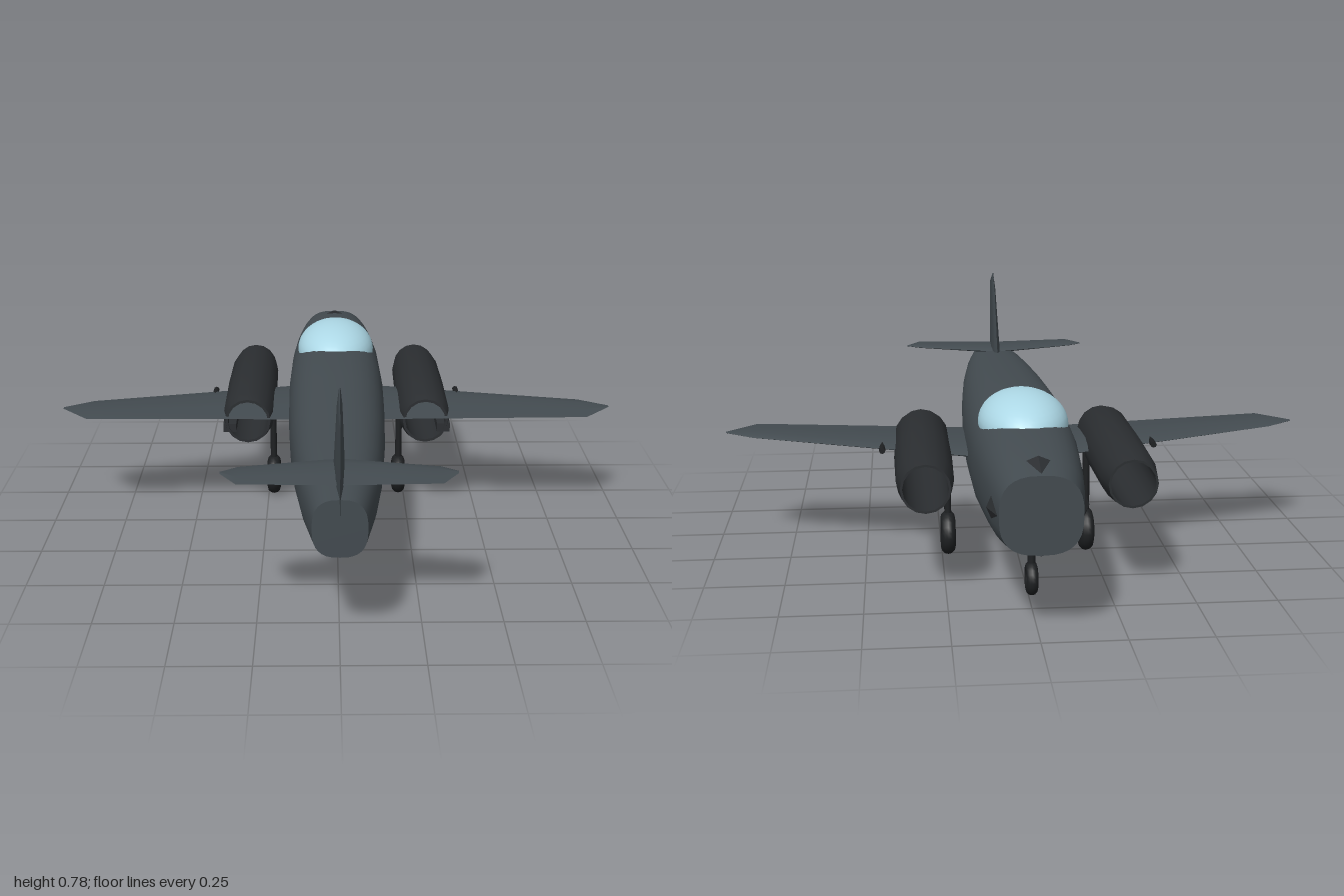
import * as THREE from 'three';
import { toCreasedNormals } from 'three/addons/utils/BufferGeometryUtils.js';

const V = (x, y, z) => new THREE.Vector3(x, y, z);
const mat = (color, side = THREE.FrontSide) => new THREE.MeshStandardMaterial({ color, side });

// Joins equal-sized rings of points into a closed skin with capped ends.
function loft(rings, crease) {
  const n = rings[0].length;
  const tris = [];
  for (let i = 0; i < rings.length - 1; i++) {
    for (let j = 0; j < n; j++) {
      const k = (j + 1) % n;
      const [a, b, c, d] = [rings[i][j], rings[i][k], rings[i + 1][k], rings[i + 1][j]];
      tris.push([a, b, c], [a, c, d]);
    }
  }
  const first = rings[0], last = rings[rings.length - 1];
  for (let j = 1; j < n - 1; j++) {
    tris.push([first[0], first[j + 1], first[j]], [last[0], last[j], last[j + 1]]);
  }
  // A negative volume means the skin is inside out.
  const mid = rings.flat().reduce((s, p) => s.add(p), V(0, 0, 0)).divideScalar(n * rings.length);
  const volume = tris.reduce((s, t) => {
    const [a, b, c] = t.map(p => p.clone().sub(mid));
    return s + a.dot(b.cross(c));
  }, 0);
  if (volume < 0) tris.forEach(t => t.reverse());
  const geo = new THREE.BufferGeometry().setFromPoints(tris.flat());
  return toCreasedNormals(geo, crease);
}

// Thin wing section from leading to trailing edge; place(z, offset) makes each point.
function foil(lead, trail, half, place) {
  const shape = [[0, 0], [0.08, 0.55], [0.3, 1], [0.65, 0.7], [1, 0], [0.65, -0.7], [0.3, -1], [0.08, -0.55]];
  return shape.map(([t, h]) => place(lead + (trail - lead) * t, h * half));
}

// Surface spanning both sides; stations are [x, y, lead, trail, half thickness].
function spanSurface(stations) {
  const mirrored = stations.slice().reverse().map(([x, ...rest]) => [-x, ...rest]);
  const rings = [...mirrored, ...stations].map(([x, y, lead, trail, half]) =>
    foil(lead, trail, half, (z, h) => V(x, y + h, z)));
  return loft(rings, 0.6);
}

export function createModel() {
  const model = new THREE.Group();
  const body = mat(0x434b50);
  const dark = mat(0x2b2e31);
  const darkOpen = mat(0x2b2e31, THREE.DoubleSide);
  const black = mat(0x1e2022);
  const glass = mat(0xadd8e6);

  const add = (name, geo, material, x = 0, y = 0, z = 0, parent = model) => {
    const mesh = new THREE.Mesh(geo, material);
    mesh.name = name;
    mesh.position.set(x, y, z);
    parent.add(mesh);
    return mesh;
  };

  // Fuselage: rounded-square sections [z, half width, bottom, top]
  const frames = [
    [-1, 0.118, 0.26, 0.49], [-0.9, 0.134, 0.24, 0.507], [-0.75, 0.15, 0.225, 0.525],
    [-0.55, 0.164, 0.208, 0.54], [-0.25, 0.17, 0.2, 0.546], [0, 0.166, 0.205, 0.536],
    [0.25, 0.156, 0.22, 0.523], [0.5, 0.138, 0.245, 0.508], [0.72, 0.113, 0.273, 0.495],
    [0.92, 0.08, 0.302, 0.48],
  ];
  const round = (v) => Math.sign(v) * Math.abs(v) ** (2 / 2.7);
  const skin = frames.map(([z, w, lo, hi]) => Array.from({ length: 32 }, (_, i) => {
    const a = (i / 32) * Math.PI * 2;
    return V(w * round(Math.cos(a)), (lo + hi) / 2 + (hi - lo) / 2 * round(Math.sin(a)), z);
  }));
  add('fuselage', loft(skin, 0.7), body);

  // Eight-sided nose ring whose corners break through the skin
  const ring = new THREE.CylinderGeometry(0.146, 0.116, 0.095, 8).rotateX(Math.PI / 2);
  add('noseRing', toCreasedNormals(ring, 0.4), dark, 0, 0.373, -0.95);

  // Canopy
  const canopy = add('canopy', new THREE.SphereGeometry(1, 32, 20), glass, 0, 0.5, -0.45);
  canopy.scale.set(0.14, 0.1, 0.22);

  // Wings and tailplane
  add('wings', spanSurface([
    [0.1, 0.37, -0.4, -0.025, 0.02], [0.865, 0.39, -0.168, 0.015, 0.008], [0.96, 0.391, -0.1, -0.085, 0.002],
  ]), body);
  add('tailplane', spanSurface([
    [0.03, 0.497, 0.66, 0.855, 0.012], [0.295, 0.502, 0.728, 0.857, 0.006], [0.345, 0.502, 0.765, 0.78, 0.002],
  ]), body);

  // Fin
  const fin = [[0.41, 0.54, 0.92, 0.02], [0.722, 0.725, 1, 0.008], [0.78, 0.825, 0.84, 0.002]]
    .map(([y, lead, trail, half]) => foil(lead, trail, half, (z, h) => V(h, y, z)));
  add('fin', loft(fin, 0.6), body);

  // Wheel with an open centre on a strut
  const gear = (name, x, z, axle, radius, tube, top) => {
    const group = new THREE.Group();
    group.name = name;
    group.position.set(x, 0, z);
    model.add(group);
    const tyre = new THREE.TorusGeometry(radius, tube, 12, 24).rotateY(Math.PI / 2);
    add('wheel', tyre, black, 0, axle, 0, group);
    add('strut', new THREE.CylinderGeometry(0.012, 0.012, top - axle, 10), black, 0, (top + axle) / 2, 0, group);
  };
  gear('noseGear', 0, -0.73, 0.09, 0.034, 0.018, 0.27);

  // Hollow engine pod outline [radius, z], outside then inside
  const podProfile = [
    [0.076, -0.69], [0.088, -0.6], [0.092, -0.35], [0.09, -0.08], [0.079, -0.03],
    [0.07, -0.03], [0.076, -0.3], [0.069, -0.69], [0.076, -0.69],
  ].map(([r, z]) => new THREE.Vector2(r, z));
  const pod = toCreasedNormals(new THREE.LatheGeometry(podProfile, 16).rotateX(Math.PI / 2), 0.6);

  for (const [side, s] of [['left', 1], ['right', -1]]) {
    add(side + 'EnginePod', pod, darkOpen, s * 0.31, 0.362, 0);
    add(side + 'PodFairing', new THREE.BoxGeometry(0.045, 0.03, 0.27), dark, s * 0.374, 0.335, -0.17);
    const barrel = new THREE.CylinderGeometry(0.01, 0.01, 0.2, 8).rotateX(Math.PI / 2);
    add(side + 'WingBarrel', barrel, black, s * 0.44, 0.379, -0.225);
    gear(side + 'MainGear', s * 0.23, -0.25, 0.073, 0.049, 0.024, 0.36);
  }
  return model;
}
